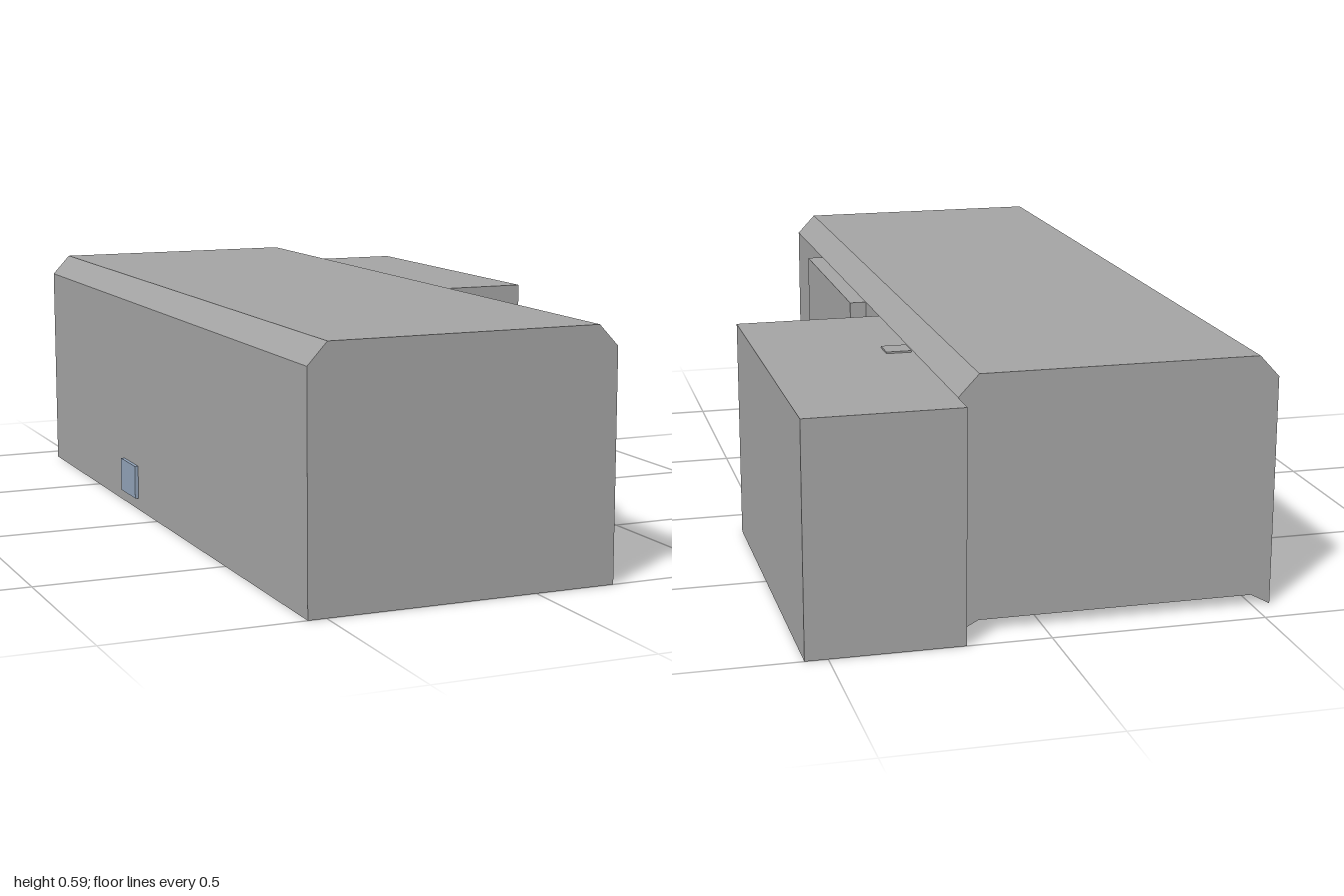
import * as THREE from 'three';

const grey = new THREE.MeshStandardMaterial({ color: 0xa4a4a4, flatShading: true });
const shell = new THREE.MeshStandardMaterial({ color: 0xa4a4a4, flatShading: true, side: THREE.DoubleSide });
const blue = new THREE.MeshStandardMaterial({ color: 0x92a3b9 });
const dark = new THREE.MeshStandardMaterial({ color: 0x333333 });
const cyan = new THREE.MeshStandardMaterial({ color: 0xd4fff8 });

// Flat-sided strip joining two matching polylines
function strip(name, from, to) {
  const pos = [];
  for (let i = 0; i < from.length - 1; i++) {
    const [a, b, c, d] = [from[i], from[i + 1], to[i + 1], to[i]];
    pos.push(...a, ...b, ...c, ...a, ...c, ...d);
  }
  const g = new THREE.BufferGeometry();
  g.setAttribute('position', new THREE.Float32BufferAttribute(pos, 3));
  g.computeVertexNormals();
  const m = new THREE.Mesh(g, shell);
  m.name = name;
  return m;
}

// Horizontal rectangle at height y
function slab(name, x0, x1, z0, z1, y) {
  return strip(name, [[x0, y, z0], [x0, y, z1]], [[x1, y, z0], [x1, y, z1]]);
}

// Flat wall across the room from an outline in x and y
function endWall(name, outline, z) {
  const shape = new THREE.Shape(outline.map(([x, y]) => new THREE.Vector2(x, y)));
  const wall = new THREE.Mesh(new THREE.ShapeGeometry(shape), shell);
  wall.position.z = z;
  wall.name = name;
  return wall;
}

// Box standing with its underside at height y
function box(name, w, h, d, x, y, z, mat = grey) {
  const m = new THREE.Mesh(new THREE.BoxGeometry(w, h, d), mat);
  m.position.set(x, y + h / 2, z);
  m.name = name;
  return m;
}

// Block seat with a small raised backrest
function seat(name, w, h, d, x, z, mat, backX, backZ) {
  const g = new THREE.Group();
  g.name = name;
  g.add(box('seatBlock', w, h, d, 0, 0, 0, mat));
  g.add(box('seatBack', 0.035, 0.03, 0.035, backX, h, backZ, mat));
  g.position.set(x, 0.03, z);
  return g;
}

export function createModel() {
  const model = new THREE.Group();
  model.name = 'roomInterior';
  const front = 1, back = -0.92, eave = 0.538, ridge = 0.588;
  const left = 0.194, right = -0.543;

  // Long outer wall, sloped edges and main ceiling
  const profile = [[right, 0], [right, eave], [-0.497, ridge], [0.147, ridge], [left, eave]];
  model.add(strip('mainRoof', profile.map(([x, y]) => [x, y, front]), profile.map(([x, y]) => [x, y, back])));

  // End walls; the back one has a slightly raised lower edge
  model.add(endWall('frontWall', [...profile, [left, 0]], front));
  model.add(endWall('backWall', [...profile, [left, 0], [0.147, 0.025], [-0.497, 0.025]], back));

  // Side wall stepping around the shallow recess and the annex, both open to the room
  const plan = [[left, 1], [left, 0.62], [0.235, 0.62], [0.235, 0.03], [left, 0.03],
    [left, -0.13], [0.552, -0.13], [0.552, -1], [left, -1], [left, back]];
  model.add(strip('sideWall', plan.map(([x, z]) => [x, 0, z]), plan.map(([x, z]) => [x, eave, z])));
  model.add(slab('recessCeiling', left, 0.235, 0.03, 0.62, eave));
  model.add(slab('recessFloor', left, 0.235, 0.03, 0.62, 0));
  model.add(slab('annexCeiling', left, 0.552, -1, -0.13, eave));
  model.add(slab('annexLedge', left, 0.552, -1, back, 0));

  // Column at the annex opening, just piercing its ceiling
  model.add(box('column', 0.06, 0.5, 0.06, 0.23, 0.042, -0.48));
  model.add(box('columnBase', 0.07, 0.06, 0.07, 0.23, 0.022, -0.48));

  // Seats beside the column
  model.add(seat('annexSeat', 0.09, 0.08, 0.09, 0.19, -0.33, grey, 0.027, 0.02));
  model.add(box('annexStool', 0.08, 0.07, 0.08, 0.1, 0.03, -0.33));

  // Row of seats along the recess
  for (const z of [0.54, 0.44, 0.32, 0.22]) {
    model.add(seat('recessSeat', 0.08, 0.07, 0.085, 0.085, z, grey, 0.02, 0));
  }

  // Blue table and seats by the long wall
  model.add(box('table', 0.21, 0.08, 0.15, -0.4, 0.03, 0.19, blue));
  model.add(seat('wallSeat', 0.132, 0.085, 0.12, -0.486, -0.21, blue, 0.01, -0.04));
  model.add(seat('wallSeat', 0.1, 0.07, 0.11, -0.458, 0.525, blue, -0.03, -0.035));

  // Screen with a pale display facing the back of the room
  const screen = new THREE.Group();
  screen.name = 'screen';
  screen.add(box('screenCase', 0.055, 0.09, 0.05, 0, 0, 0, dark));
  screen.add(box('screenPanel', 0.058, 0.055, 0.053, 0, 0.033, 0, cyan));
  screen.position.set(0.03, 0.08, -0.66);
  model.add(screen);

  return model;
}
